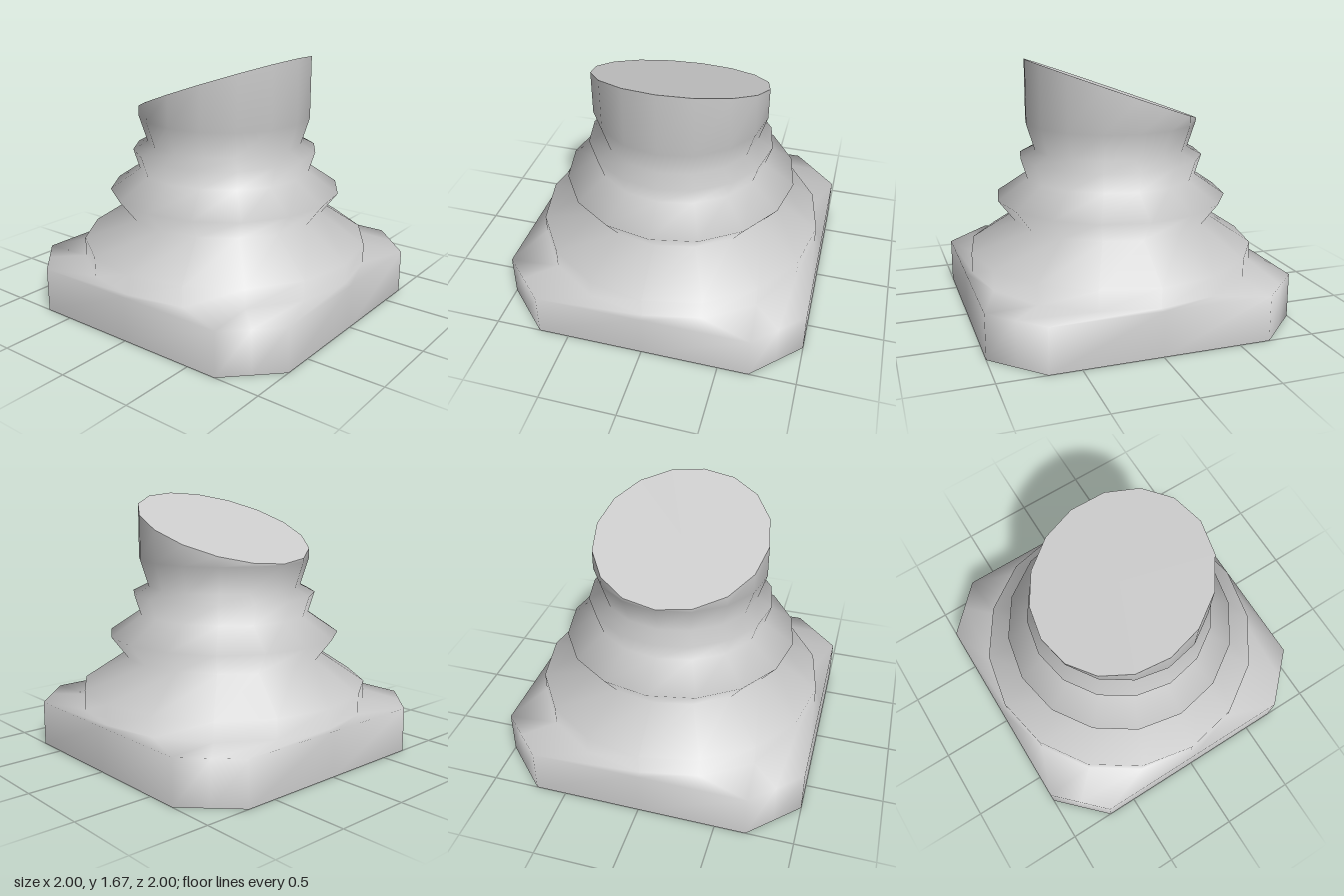
import * as THREE from 'three';

const SIDES = 16;
const TOP_R = 0.57;
const material = new THREE.MeshStandardMaterial({ color: 0xcccccc, side: THREE.DoubleSide });

// Round cross-section; y may depend on z for the slanted top
function circle(r, yAt) {
  return Array.from({ length: SIDES }, (_, k) => {
    const a = (k / SIDES) * Math.PI * 2;
    const z = r * Math.cos(a);
    return [r * Math.sin(a), yAt(z), z];
  });
}

// Square cross-section with cut corners, one point per side of the round rings
function cutSquare(y) {
  const quarter = [[0, 1], [0.7, 1], [0.85, 0.85], [1, 0.7]];
  const ring = [];
  for (let q = 0; q < 4; q++) {
    for (let [x, z] of quarter) {
      for (let i = 0; i < q; i++) [x, z] = [z, -x];
      ring.push([x, y, z]);
    }
  }
  return ring;
}

// Triangles joining rings from..to
function band(from, to) {
  const index = [];
  for (let j = from; j < to; j++) {
    for (let k = 0; k < SIDES; k++) {
      const a = j * SIDES + k;
      const b = j * SIDES + ((k + 1) % SIDES);
      index.push(a, b, b + SIDES, a, b + SIDES, a + SIDES);
    }
  }
  return index;
}

export function createModel() {
  const group = new THREE.Group();
  const slant = (z) => 1.466 + 0.36 * z;
  const topRing = circle(TOP_R, slant);

  // Bellows profile: radius, height
  const profile = [
    [0.955, 0.29], [0.955, 0.42], [0.66, 0.615], [0.77, 0.76],
    [0.57, 0.895], [0.612, 1.03], [0.515, 1.08], [TOP_R, 1.255],
  ];
  const rings = [
    cutSquare(0), cutSquare(0.29),
    ...profile.map(([r, y]) => circle(r, () => y)),
    topRing,
  ];

  // One skin, so the shading runs smoothly from part to part
  const skin = new THREE.BufferGeometry();
  skin.setAttribute('position', new THREE.Float32BufferAttribute(rings.flat(2), 3));
  skin.setIndex(band(0, rings.length - 1));
  skin.computeVertexNormals();

  const addPart = (name, from, to) => {
    const geometry = new THREE.BufferGeometry();
    geometry.setAttribute('position', skin.attributes.position);
    geometry.setAttribute('normal', skin.attributes.normal);
    geometry.setIndex(band(from, to));
    const mesh = new THREE.Mesh(geometry, material);
    mesh.name = name;
    group.add(mesh);
  };
  addPart('base', 0, 2);
  addPart('bellows', 2, 8);
  addPart('collar', 8, 10);

  // Flat slanted cap closing the collar
  const capGeometry = new THREE.BufferGeometry();
  capGeometry.setAttribute('position',
    new THREE.Float32BufferAttribute([...topRing.flat(), 0, slant(0), 0], 3));
  capGeometry.setIndex(topRing.flatMap((_, k) => [SIDES, k, (k + 1) % SIDES]));
  capGeometry.computeVertexNormals();
  const cap = new THREE.Mesh(capGeometry, material);
  cap.name = 'slantedCap';
  group.add(cap);

  return group;
}
